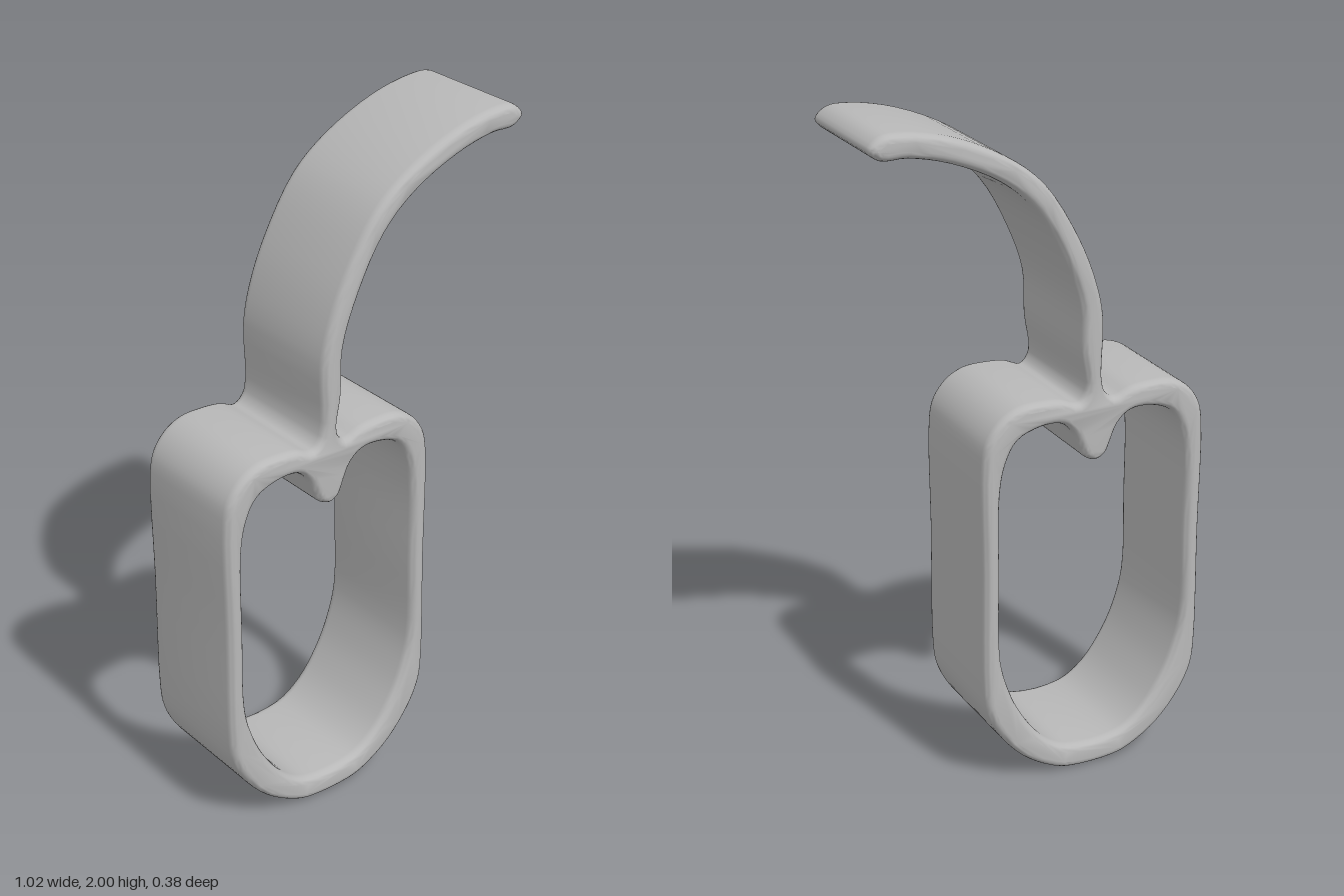
import * as THREE from 'three';
import { toCreasedNormals } from 'three/addons/utils/BufferGeometryUtils.js';

const CENTRE = -0.16; // x of the loop's mirror line
const DEPTH = 0.384;
const BEVEL = 0.022;

// Half profiles, from bottom to top: [distance from mirror line, y]
const outerHalf = [
  [0.07, 0.003], [0.13, 0.02], [0.225, 0.08], [0.305, 0.175], [0.34, 0.25], [0.35, 0.32],
  [0.35, 0.7], [0.35, 1.05], [0.335, 1.11], [0.295, 1.16], [0.24, 1.188], [0.17, 1.192],
  [0.11, 1.186], [0.055, 1.168],
];
const innerHalf = [
  [0.08, 0.082], [0.16, 0.13], [0.228, 0.22], [0.27, 0.31], [0.298, 0.42], [0.3, 0.68],
  [0.298, 0.94], [0.28, 1.03], [0.245, 1.09], [0.175, 1.117], [0.11, 1.115], [0.072, 1.085],
  [0.047, 1.03], [0.032, 1.0],
];

// Curved arm, from its right foot over the tip to its left foot
const arm = [
  [-0.13, 1.2], [-0.116, 1.315], [-0.11, 1.45], [-0.058, 1.595], [0.026, 1.74],
  [0.127, 1.83], [0.275, 1.9], [0.397, 1.93], [0.475, 1.933], [0.508, 1.965],
  [0.475, 1.997], [0.407, 2.0], [0.275, 1.972], [0.115, 1.9], [0, 1.81],
  [-0.105, 1.645], [-0.16, 1.51], [-0.182, 1.405], [-0.184, 1.2],
];

const side = (half, s) => half.map(([u, y]) => [CENTRE + s * u, y]);

// Smooth closed outline through the points
function smoothLoop(points, divisions) {
  const curve = new THREE.CatmullRomCurve3(
    points.map(([x, y]) => new THREE.Vector3(x, y, 0)), true, 'centripetal');
  return curve.getPoints(points.length * divisions).slice(0, -1)
    .map((p) => new THREE.Vector2(p.x, p.y));
}

export function createModel() {
  const group = new THREE.Group();
  group.name = 'loopWithCurvedArm';
  const grey = new THREE.MeshStandardMaterial({ color: 0xb8b8b8 });
  grey.name = 'grey';

  // Outer outline of loop and arm; the opening carries the small spur at its top
  const shape = new THREE.Shape(smoothLoop(
    [...side(outerHalf, 1), ...arm, ...side(outerHalf, -1).reverse()], 4));
  shape.holes.push(new THREE.Path(smoothLoop(
    [...side(innerHalf, 1), [CENTRE, 0.985], ...side(innerHalf, -1).reverse()], 4)));

  // Wide band with rounded rims
  const rim = 0.028;
  const band = new THREE.ExtrudeGeometry(shape, {
    depth: DEPTH - 2 * rim, bevelEnabled: true, bevelThickness: rim,
    bevelSize: BEVEL, bevelOffset: -BEVEL, bevelSegments: 5,
  });
  band.translate(0, 0, -DEPTH / 2 + rim);

  const mesh = new THREE.Mesh(toCreasedNormals(band, 0.9), grey);
  mesh.name = 'bandLoopAndArm';
  group.add(mesh);
  return group;
}
